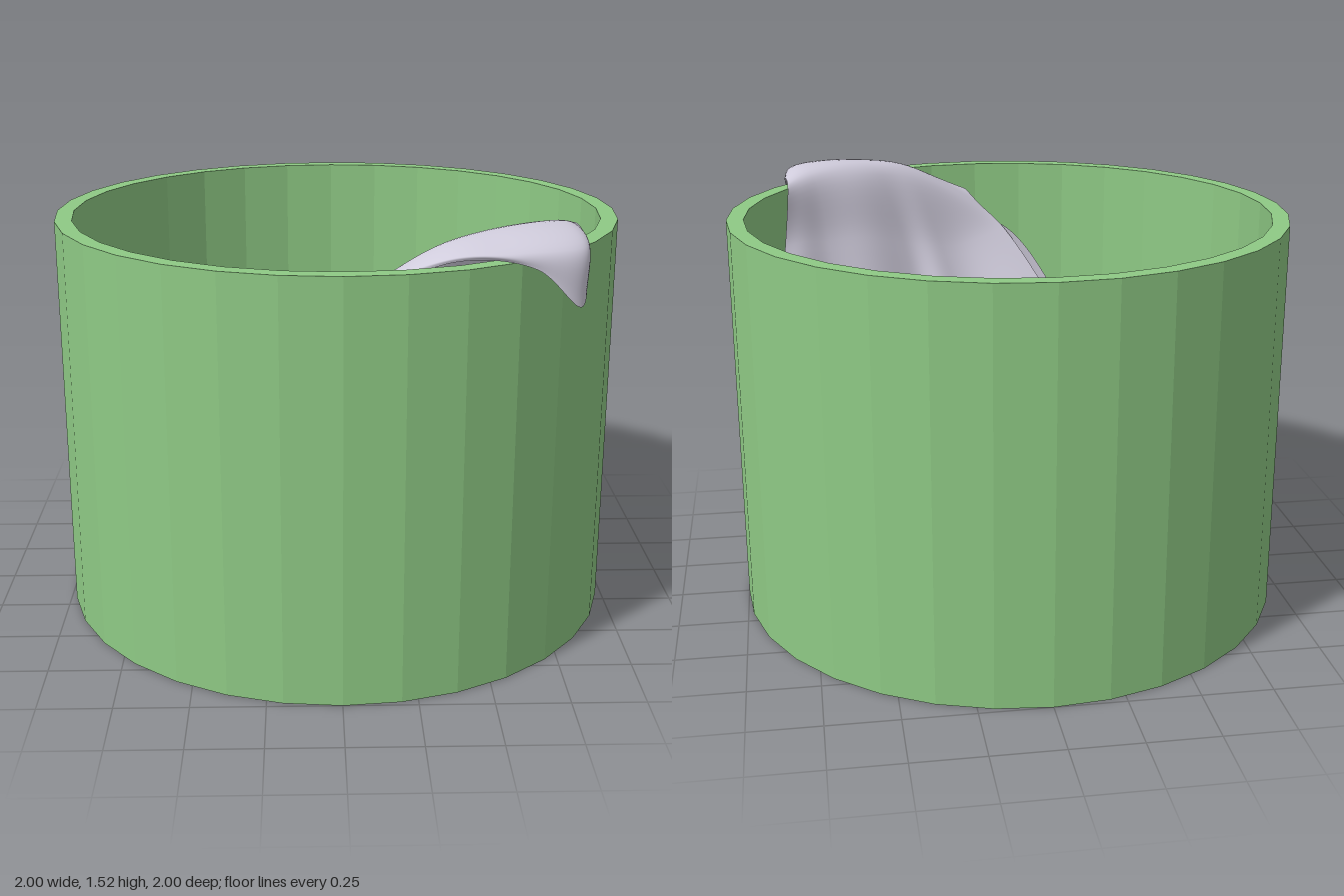
import * as THREE from 'three';

const V = (p) => new THREE.Vector3(...p);
const spline = (pts) => new THREE.CatmullRomCurve3(pts, false, 'centripetal');

// Smooth surface through rows of control points; warp(point, u, v) adds folds.
function loft(rows, nu, nv, warp) {
  const across = rows.map((r) => spline(r.map(V)));
  const pos = [], idx = [];
  for (let i = 0; i <= nu; i++) {
    const u = i / nu;
    const down = spline(across.map((c) => c.getPoint(u)));
    for (let j = 0; j <= nv; j++) {
      const p = down.getPoint(j / nv);
      warp(p, u, j / nv);
      pos.push(p.x, p.y, p.z);
      if (i < nu && j < nv) {
        const a = i * (nv + 1) + j, b = a + nv + 1;
        idx.push(a, b, a + 1, b, b + 1, a + 1);
      }
    }
  }
  const g = new THREE.BufferGeometry();
  g.setAttribute('position', new THREE.Float32BufferAttribute(pos, 3));
  g.setIndex(idx);
  g.computeVertexNormals();
  return g;
}

export function createModel() {
  const group = new THREE.Group();
  const add = (name, geometry, material) => {
    const mesh = new THREE.Mesh(geometry, material);
    mesh.name = name;
    group.add(mesh);
  };

  // Round bin with a thick wall and floor
  const profile = [[0, 0], [1, 0], [1, 1.44], [0.94, 1.44], [0.94, 0.05], [0, 0.05]];
  add('bin', new THREE.LatheGeometry(profile.map((p) => new THREE.Vector2(...p)), 32),
    new THREE.MeshStandardMaterial({ color: 0x8fca85, flatShading: true }));

  const cloth = new THREE.MeshStandardMaterial({ color: 0xd0ccdc, side: THREE.DoubleSide });

  // Main sheet: from the straight hem on the floor, up the slope, over the rim to a hanging corner
  const sheet = [
    [[-0.6, 0.08, 0.11], [-0.18, 0.07, -0.03], [0.1, 0.07, -0.11], [0.42, 0.08, -0.21], [0.66, 0.1, -0.29]],
    [[-0.56, 0.2, 0.25], [-0.12, 0.15, 0.15], [0.15, 0.15, 0.09], [0.5, 0.17, -0.01], [0.78, 0.25, -0.1]],
    [[-0.48, 0.5, 0.42], [-0.03, 0.45, 0.36], [0.2, 0.48, 0.31], [0.56, 0.52, 0.18], [0.83, 0.65, 0.08]],
    [[-0.32, 0.85, 0.6], [0.06, 0.8, 0.53], [0.27, 0.85, 0.48], [0.6, 0.92, 0.36], [0.84, 0.98, 0.2]],
    [[-0.1, 1.2, 0.76], [0.16, 1.15, 0.68], [0.34, 1.2, 0.6], [0.63, 1.25, 0.46], [0.8, 1.25, 0.38]],
    [[0, 1.3, 0.8], [0.28, 1.46, 0.73], [0.45, 1.5, 0.66], [0.68, 1.5, 0.52], [0.78, 1.47, 0.42]],
    [[0.06, 1.36, 0.84], [0.34, 1.46, 0.86], [0.53, 1.47, 0.85], [0.76, 1.47, 0.76], [0.79, 1.48, 0.54]],
    [[0.06, 1.34, 0.85], [0.36, 1.45, 0.86], [0.6, 1.42, 0.85], [0.75, 1.29, 0.81], [0.79, 1.45, 0.62]],
  ];
  add('drapedSheet', loft(sheet, 60, 70, (p, u, v) => {
    const soft = Math.sin(Math.PI * Math.min(1, v / 0.7)) * Math.sin(Math.PI * u);
    const fold = 0.018 * soft * Math.sin(u * 20 + v * 3);
    p.y += fold;
    p.z -= fold;
  }), cloth);

  // Crumpled part of the cloth gathered between the sheet and the wall
  const gathered = [
    [[-0.68, 0.35, 0.1], [-0.47, 0.62, 0.5], [-0.08, 1.22, 0.78], [0.3, 1.2, 0.79],
      [0.72, 1.15, 0.45], [0.83, 0.85, 0.15], [0.8, 0.4, -0.18]],
    [[-0.68, 0.25, 0.42], [-0.5, 0.4, 0.66], [-0.1, 0.7, 0.87], [0.3, 0.7, 0.82],
      [0.7, 0.7, 0.53], [0.87, 0.5, 0.15], [0.87, 0.25, -0.15]],
    [[-0.7, 0.07, 0.42], [-0.52, 0.07, 0.68], [-0.12, 0.07, 0.88], [0.3, 0.07, 0.83],
      [0.7, 0.07, 0.53], [0.87, 0.07, 0.15], [0.86, 0.07, -0.18]],
  ];
  add('gatheredCloth', loft(gathered, 140, 24, (p, u, v) => {
    const ruffle = 1 - 0.035 * v * (1 + Math.sin(u * 75 + 2 * Math.sin(v * 7)));
    p.x *= ruffle;
    p.z *= ruffle;
  }), cloth);

  return group;
}
